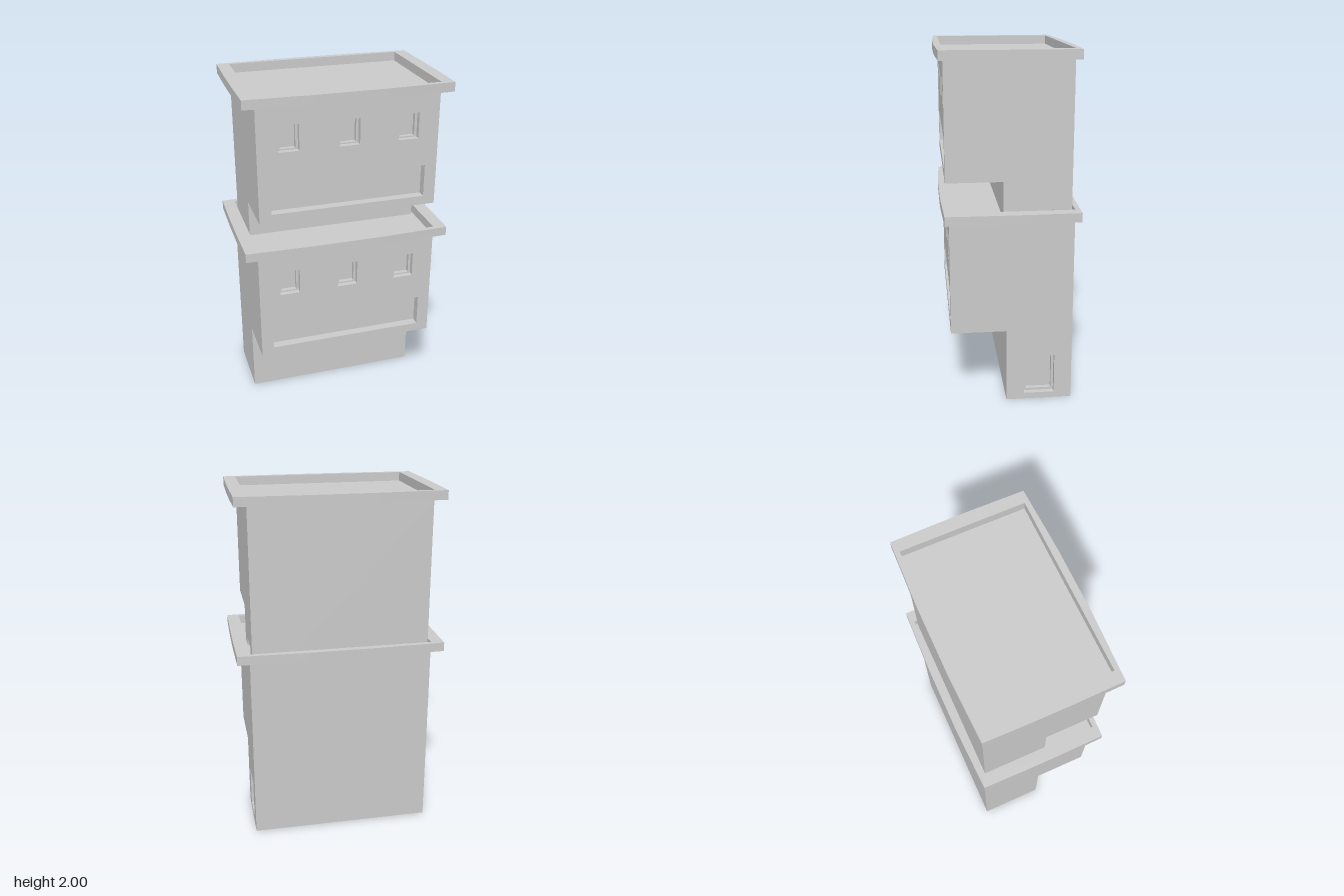
import * as THREE from 'three';
import { mergeGeometries } from 'three/addons/utils/BufferGeometryUtils.js';

const material = new THREE.MeshStandardMaterial({ color: 0xcccccc, flatShading: true });

// Main dimensions of one storey
const HALF_W = 0.52, FRONT = 0.34, BACK = -0.35, STEP_Z = 0.026;
const STEP_Y = 0.433, TOP = 1.086, RIM_H = 0.052;
const MID_Z = (FRONT + BACK) / 2;

const polygon = (points) => points.map(([x, y]) => new THREE.Vector2(x, y));
const rect = (x, y, w, h) => polygon([
  [x - w / 2, y - h / 2], [x + w / 2, y - h / 2], [x + w / 2, y + h / 2], [x - w / 2, y + h / 2],
]);

function shapeWithHoles(outline, holes = []) {
  const shape = new THREE.Shape(outline);
  holes.forEach((h) => shape.holes.push(new THREE.Path(h)));
  return shape;
}

function addMesh(parent, name, geometry) {
  const mesh = new THREE.Mesh(geometry, material);
  mesh.name = name;
  parent.add(mesh);
  return mesh;
}

// Stepped recess behind an opening, facing +z; each step is [depth, insetX, insetY]
function recessGeometry({ x, y, w, h, steps }) {
  const parts = [];
  let z = 0;
  steps.forEach(([depth, insetX, insetY], i) => {
    if (i > 0) {
      const nw = w - 2 * insetX, nh = h - 2 * insetY;
      parts.push(new THREE.ShapeGeometry(shapeWithHoles(rect(0, 0, w, h), [rect(0, 0, nw, nh)])).translate(0, 0, z));
      w = nw;
      h = nh;
    }
    for (let k = 0; k < 4; k++) {
      const [along, across] = k % 2 ? [h, w] : [w, h];
      parts.push(new THREE.PlaneGeometry(along, depth).rotateX(-Math.PI / 2)
        .translate(0, -across / 2, z - depth / 2).rotateZ(k * Math.PI / 2));
    }
    z -= depth;
  });
  parts.push(new THREE.PlaneGeometry(w, h).translate(0, 0, z));
  return mergeGeometries(parts).translate(x, y, 0);
}

// Flat wall with its recessed openings, built facing +z
function wall(name, outline, openings = []) {
  const group = new THREE.Group();
  group.name = name;
  const holes = openings.map((o) => rect(o.x, o.y, o.w, o.h));
  addMesh(group, name + 'Face', new THREE.ShapeGeometry(shapeWithHoles(outline, holes)));
  openings.forEach((o) => addMesh(group, o.name, recessGeometry(o)));
  return group;
}

function storey(name) {
  const group = new THREE.Group();
  group.name = name;

  // Front wall: three windows over a long sign recess
  const windows = [-0.343, 0, 0.343].map((x) => (
    { name: 'window', x, y: 0.907, w: 0.116, h: 0.146, steps: [[0.03, 0, 0], [0.025, 0.014, 0.008]] }));
  const sign = { name: 'signRecess', x: 0, y: 0.578, w: 0.9, h: 0.186, steps: [[0.05, 0, 0]] };
  const front = wall('frontWall', rect(0, (STEP_Y + TOP) / 2, HALF_W * 2, TOP - STEP_Y), [...windows, sign]);
  front.position.z = FRONT;
  group.add(front);

  // Stepped side walls, with the door on the left one
  const profile = [[BACK, 0], [STEP_Z, 0], [STEP_Z, STEP_Y], [FRONT, STEP_Y], [FRONT, TOP], [BACK, TOP]];
  const door = { name: 'door', x: 0.163, y: 0.153, w: 0.175, h: 0.234, steps: [[0.03, 0, 0], [0.025, 0.014, 0.014]] };
  for (const side of [1, -1]) {
    const sideWall = wall(side > 0 ? 'leftWall' : 'rightWall',
      polygon(profile.map(([z, y]) => [-side * z, y])), side > 0 ? [door] : []);
    sideWall.rotation.y = side * Math.PI / 2;
    sideWall.position.x = side * HALF_W;
    group.add(sideWall);
  }

  // Plain surfaces: back, lower front, undersides and roof deck
  const w = HALF_W * 2;
  const plane = (h) => new THREE.PlaneGeometry(w, h);
  const down = Math.PI / 2;
  addMesh(group, 'backWall', plane(TOP).rotateY(Math.PI).translate(0, TOP / 2, BACK));
  addMesh(group, 'lowerFrontWall', plane(STEP_Y).translate(0, STEP_Y / 2, STEP_Z));
  addMesh(group, 'base', plane(STEP_Z - BACK).rotateX(down).translate(0, 0, (STEP_Z + BACK) / 2));
  addMesh(group, 'overhangUnderside', plane(FRONT - STEP_Z).rotateX(down).translate(0, STEP_Y, (FRONT + STEP_Z) / 2));
  addMesh(group, 'roofDeck', plane(FRONT - BACK).rotateX(-down).translate(0, TOP, MID_Z));

  // Roof rim with slightly bowed outer edges
  const quarter = [[0.595, 0.1], [0.591, 0.37], [0.2, 0.383]];
  const outline = [
    ...quarter,
    ...quarter.map(([x, y]) => [-x, y]).reverse(),
    ...quarter.map(([x, y]) => [-x, -y]),
    ...quarter.map(([x, y]) => [x, -y]).reverse(),
  ];
  const rim = shapeWithHoles(polygon(outline), [rect(0, 0, w, FRONT - BACK)]);
  addMesh(group, 'roofRim', new THREE.ExtrudeGeometry(rim, { depth: RIM_H, bevelEnabled: false })
    .rotateX(-Math.PI / 2).translate(0, TOP, MID_Z));
  return group;
}

export function createModel() {
  const model = new THREE.Group();
  model.name = 'twoStoreyBuilding';
  model.add(storey('lowerStorey'));

  // Upper storey: slightly narrower copy sunk into the lower roof
  const upper = storey('upperStorey');
  upper.scale.set(0.971, 0.994, 1);
  upper.position.set(0, 2 - (TOP + RIM_H) * 0.994, 0.016);
  model.add(upper);
  return model;
}
